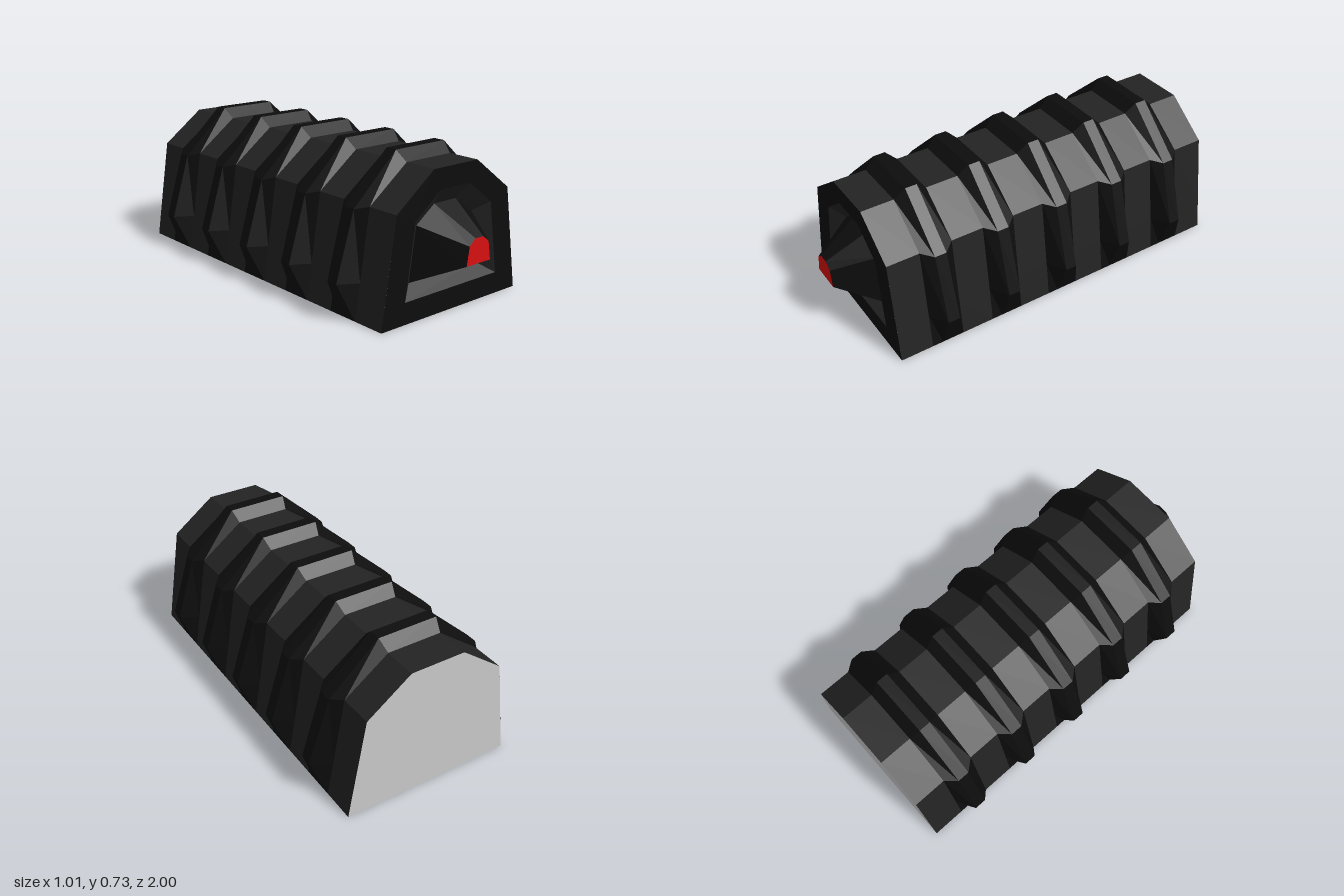
import * as THREE from 'three';

// Half profiles, from the bottom up on the +x side
const BODY = [[0.44, 0], [0.413, 0.175], [0.36, 0.515], [0.14, 0.68]];
const CREST = [[0.44, 0], [0.505, 0.175], [0.405, 0.5], [0.155, 0.73]];
const PLATE = [BODY[0], BODY[2], BODY[3]];
const FRAME_OUTER = [[0.3, 0.105], [0.245, 0.465], [0.095, 0.58]];
const FRAME_INNER = [[0.22, 0.16], [0.18, 0.42], [0.07, 0.5]];
const TIP = [[0.077, 0.26], [0.062, 0.35], [0.025, 0.38]];

const FRONT = 0.85, BACK = -1, RECESS = 0.79;
const RIBS = 5, STEP = (FRONT - BACK) / (RIBS * 2 + 1), BEVEL = 0.054;

function material(color) {
  return new THREE.MeshStandardMaterial({ color, flatShading: true, side: THREE.DoubleSide });
}

// Mirror a half profile into a full arch
function arch(half) {
  return [...half, ...half.slice().reverse().map(([x, y]) => [-x, y])];
}

// Skin a list of [halfProfile, z] sections
function loft(sections, closed) {
  const rings = sections.map(([half, z]) => arch(half).map(([x, y]) => [x, y, z]));
  const n = rings[0].length, pos = [];
  for (let j = 0; j < rings.length - 1; j++) {
    for (let i = 0; i < (closed ? n : n - 1); i++) {
      const k = (i + 1) % n;
      const a = rings[j][i], b = rings[j][k], c = rings[j + 1][i], d = rings[j + 1][k];
      pos.push(...a, ...c, ...b, ...b, ...c, ...d);
    }
  }
  const g = new THREE.BufferGeometry();
  g.setAttribute('position', new THREE.Float32BufferAttribute(pos, 3));
  g.computeVertexNormals();
  return g;
}

function cap(half) {
  return new THREE.ShapeGeometry(new THREE.Shape(arch(half).map(([x, y]) => new THREE.Vector2(x, y))));
}

export function createModel() {
  const group = new THREE.Group();
  const dark = material(0x0d0d0d), charcoal = material(0x232323);
  const add = (name, geometry, mat) => {
    const mesh = new THREE.Mesh(geometry, mat);
    mesh.name = name;
    group.add(mesh);
    return mesh;
  };

  // Alternating hull bands and hollow raised ribs, open underneath
  for (let i = 0; i <= RIBS; i++) {
    const z = FRONT - i * 2 * STEP;
    add('hullBand', loft([[BODY, z], [BODY, z - STEP]], false), charcoal);
    if (i === RIBS) break;
    const r = z - STEP;
    add('rib', loft([
      [BODY, r], [CREST, r - BEVEL], [CREST, r - STEP + BEVEL], [BODY, r - STEP],
    ], false), dark);
  }

  // Front wall with a recessed frame and a projecting nozzle
  add('frontPlate', loft([[FRAME_OUTER, FRONT], [PLATE, FRONT]], true), dark);
  add('recessFrame', loft([[FRAME_INNER, RECESS], [FRAME_OUTER, FRONT]], true), charcoal);
  add('nozzle', loft([[TIP, 1], [FRAME_INNER, RECESS]], true), dark);
  add('nozzleTip', cap(TIP), material(0xd81010)).position.z = 1;

  // Flat rear wall, facing backwards
  const rear = add('rearWall', cap(PLATE), material(0xcccccc));
  rear.rotation.y = Math.PI;
  rear.position.z = BACK;

  return group;
}
